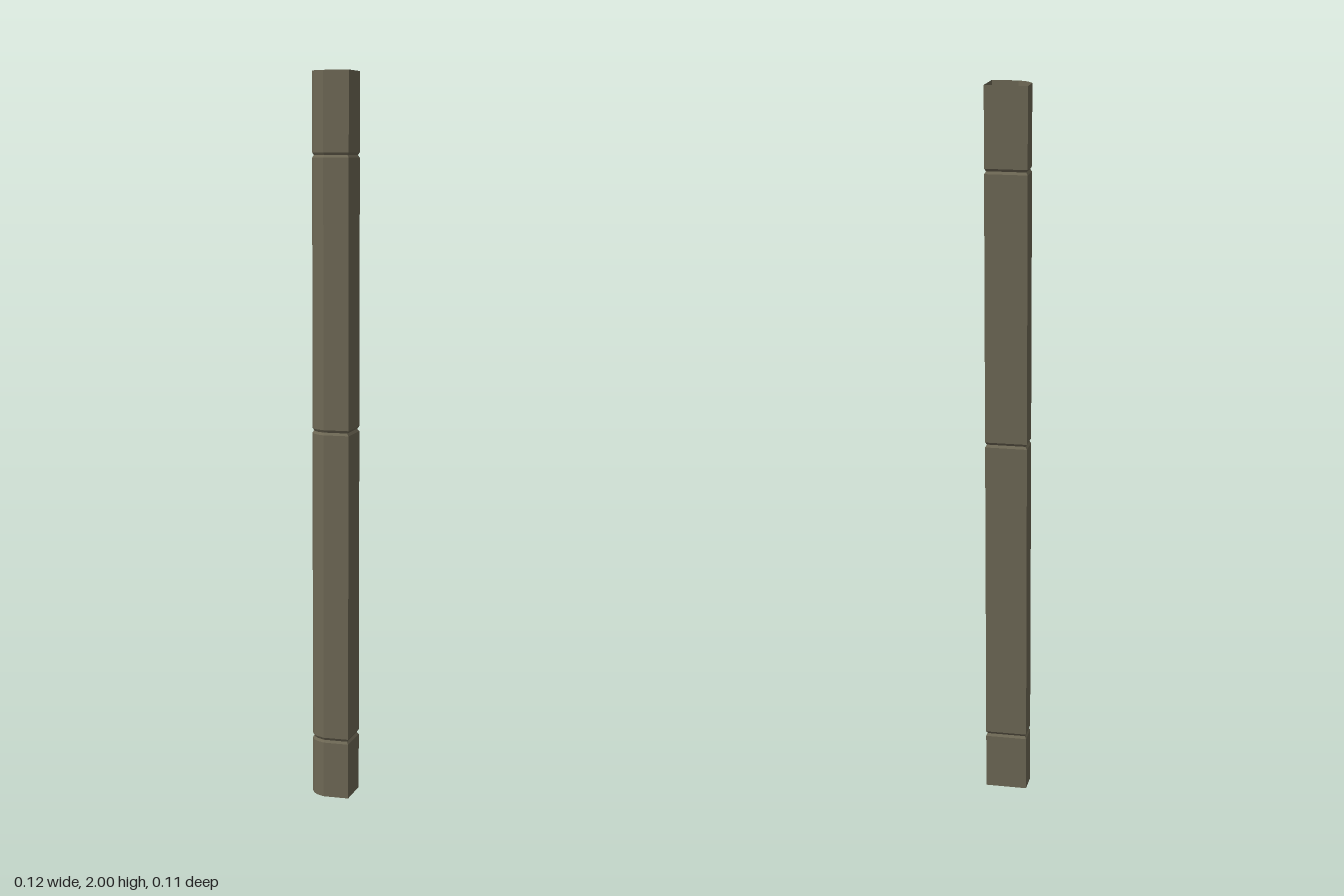
import * as THREE from 'three';

// Plan outline [x, z], counterclockwise from above: square with one rounded corner
const outline = [
  [-0.058, -0.055], [-0.058, 0.008], [-0.048, 0.028], [-0.035, 0.041],
  [-0.013, 0.053], [0.058, 0.053], [0.058, -0.055],
];
const GROOVES = [0.162, 1.027, 1.776]; // centre heights
const HALF = 0.007;                    // half height of a groove
const INSET = 0.92;                    // outline scale at the bottom of a groove

// Flat-sided open band between rings given as [height, outline scale]
function band(name, rings, material) {
  const pos = [];
  const point = ([y, s], i) => {
    const [x, z] = outline[i % outline.length];
    return [x * s, y, z * s];
  };
  for (let r = 0; r < rings.length - 1; r++) {
    for (let i = 0; i < outline.length; i++) {
      const a = point(rings[r], i), b = point(rings[r], i + 1);
      const c = point(rings[r + 1], i + 1), d = point(rings[r + 1], i);
      pos.push(...a, ...b, ...c, ...a, ...c, ...d);
    }
  }
  const geometry = new THREE.BufferGeometry();
  geometry.setAttribute('position', new THREE.Float32BufferAttribute(pos, 3));
  geometry.computeVertexNormals();
  const mesh = new THREE.Mesh(geometry, material);
  mesh.name = name;
  return mesh;
}

export function createModel() {
  const group = new THREE.Group();
  group.name = 'hollowPost';
  const material = new THREE.MeshStandardMaterial({
    color: 0x6e6855, side: THREE.DoubleSide, flatShading: true,
  });

  // Straight wall sections separated by V-shaped grooves, open at both ends
  let bottom = 0;
  GROOVES.forEach((y, i) => {
    group.add(band(`wallSection${i + 1}`, [[bottom, 1], [y - HALF, 1]], material));
    group.add(band(`groove${i + 1}`, [[y - HALF, 1], [y, INSET], [y + HALF, 1]], material));
    bottom = y + HALF;
  });
  group.add(band('topWallSection', [[bottom, 1], [2, 1]], material));
  return group;
}
